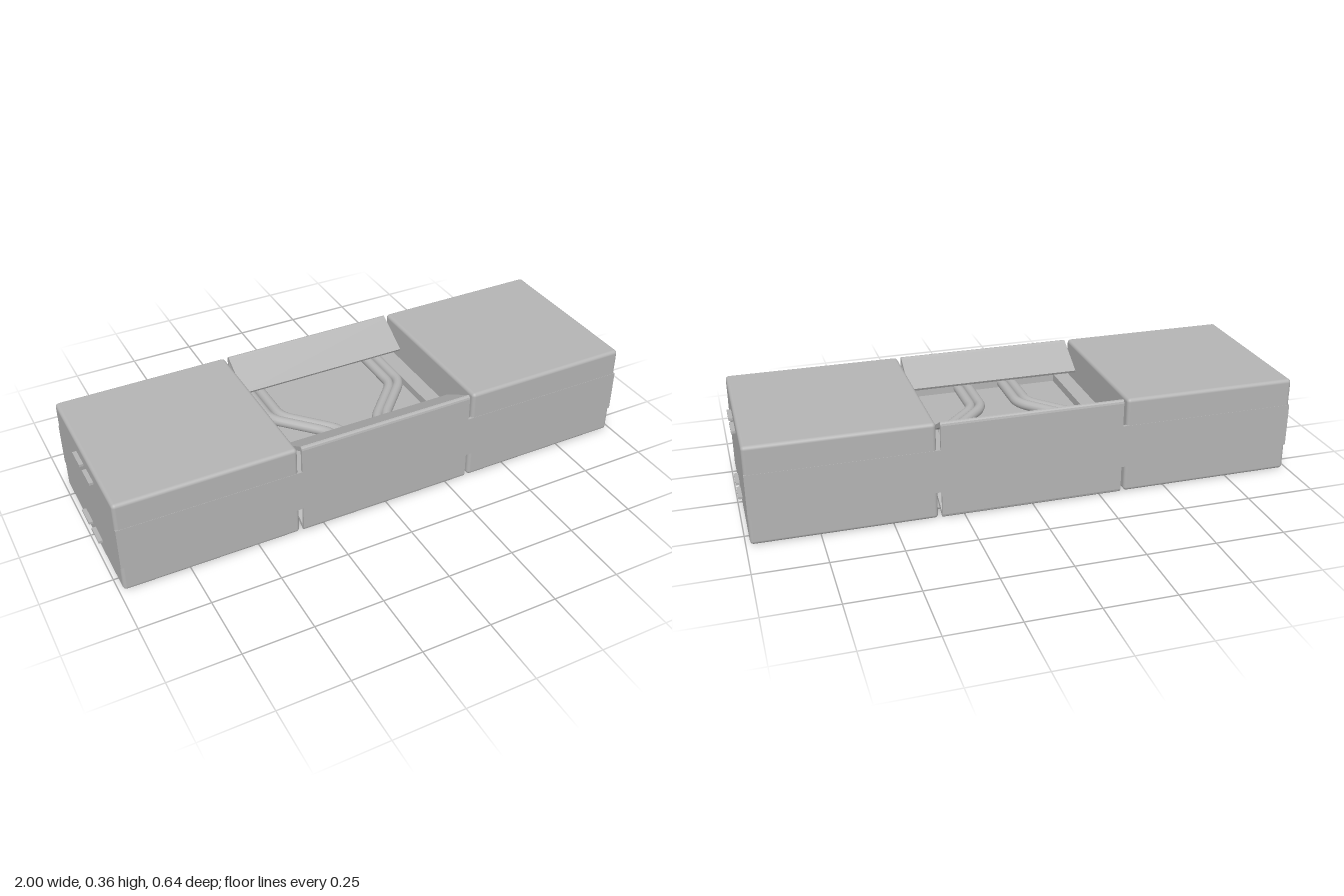
import * as THREE from 'three';
import { RoundedBoxGeometry } from 'three/addons/geometries/RoundedBoxGeometry.js';

const H = 0.36, MID = 0.18;

export function createModel() {
  const model = new THREE.Group();
  model.name = 'sheetMetalHousing';
  const metal = new THREE.MeshStandardMaterial({ color: 0xb4b4b4 });
  metal.name = 'grey metal';

  const add = (name, geometry, x = 0, y = 0, z = 0) => {
    const mesh = new THREE.Mesh(geometry, metal);
    mesh.name = name;
    mesh.position.set(x, y, z);
    model.add(mesh);
    return mesh;
  };
  const box = (name, w, h, d, x, y, z) => add(name, new THREE.BoxGeometry(w, h, d), x, y, z);

  for (const s of [-1, 1]) {
    // Closed end modules: rounded bends above and below a square-cornered band
    add('endModule', new RoundedBoxGeometry(0.641, H, 0.638, 3, 0.013), s * 0.6645, MID, 0);
    box('moduleBand', 0.641, 0.16, 0.64, s * 0.6645, MID, 0);

    // Locking tabs through the end walls
    for (const y of [0.055, 0.307])
      for (const z of [-0.037, 0.073]) box('lockingTab', 0.025, 0.009, 0.08, s * 0.9875, y, z);

    // Ledge beside the middle plate
    box('plateLedge', 0.06, 0.08, 0.62, s * 0.315, MID, 0);
  }

  // Middle wall with flanges folded inward at top and bottom (section in z, y)
  const upper = [[0.31, 0.341], [0.18, 0.272], [0.175, 0.281], [0.3, 0.354],
    [0.308, 0.36], [0.314, 0.359], [0.318, 0.355], [0.32, 0.348]];
  const lower = upper.map(([z, y]) => [z, H - y]).reverse();
  const section = new THREE.Shape([...upper, ...lower].map(([z, y]) => new THREE.Vector2(z, y)));
  for (const turn of [0, Math.PI]) {
    const wallGeometry = new THREE.ExtrudeGeometry(section, { depth: 0.66, bevelEnabled: false });
    wallGeometry.translate(0, 0, -0.33);
    wallGeometry.rotateY(-Math.PI / 2);
    wallGeometry.rotateY(Math.PI + turn);
    // Section x runs along z after the quarter turn
    add('flangedMiddleWall', wallGeometry);
  }
  // Bridges left between the relief slits
  for (const s of [-1, 1])
    for (const f of [-1, 1]) box('wallBridge', 0.02, 0.16, 0.01, s * 0.338, MID, f * 0.315);

  // Middle plate with curved pipes on both faces
  box('middlePlate', 0.6, 0.02, 0.62, 0, MID, 0);
  const pipes = [[0.271, 0.108], [0.231, 0.07]];
  for (const s of [-1, 1])
    for (const side of [-1, 1])
      for (const [back, front] of pipes) {
        const y = MID + side * 0.028;
        const p = (x, z) => new THREE.Vector3(s * x, y, z);
        const path = new THREE.CurvePath();
        const span = back - front;
        const a = p(back - span * 0.2, -0.04), b = p(front + span * 0.2, 0.065);
        path.add(new THREE.LineCurve3(p(back, -0.31), p(back, -0.11)));
        path.add(new THREE.QuadraticBezierCurve3(p(back, -0.11), p(back, -0.073), a));
        path.add(new THREE.LineCurve3(a, b));
        path.add(new THREE.QuadraticBezierCurve3(b, p(front, 0.1), p(front, 0.14)));
        path.add(new THREE.LineCurve3(p(front, 0.14), p(front, 0.31)));
        add('curvedPipe', new THREE.TubeGeometry(path, 48, 0.019, 14));
      }
  return model;
}
